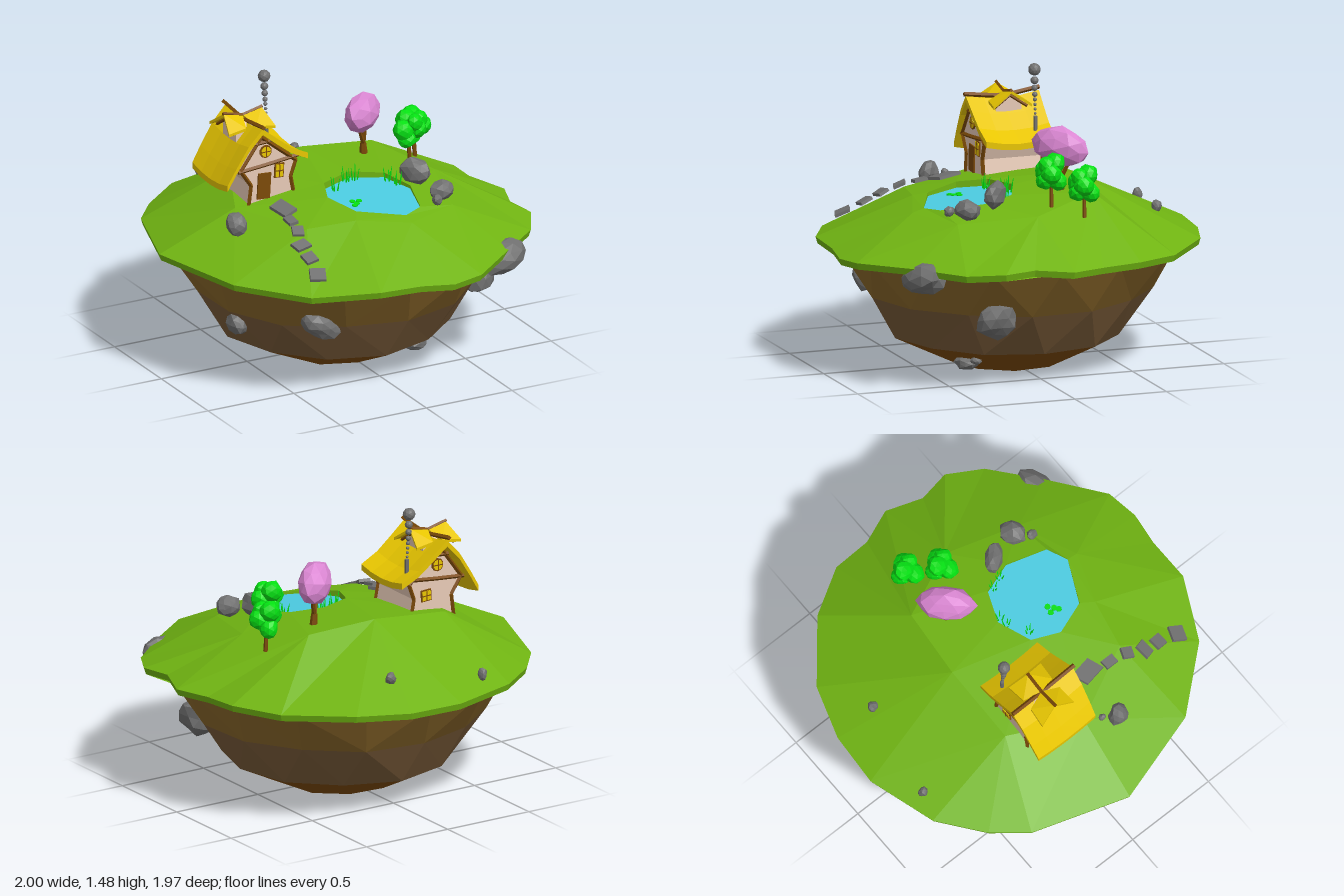
import * as THREE from 'three';

const paint = (color, name, side = THREE.FrontSide) => {
  const m = new THREE.MeshStandardMaterial({ color, flatShading: true, side });
  m.name = name;
  return m;
};
const V = (x, y, z) => new THREE.Vector3(x, y, z);
const TAU = Math.PI * 2;

// Geometry from a list of triangle corners
function fromTriangles(points) {
  const g = new THREE.BufferGeometry().setFromPoints(points);
  g.computeVertexNormals();
  return g;
}

// Stitches two rings of any size by their angle around a centre
function stitch(outer, inner, cx = 0, cz = 0) {
  const angle = p => (Math.atan2(p.z - cz, p.x - cx) + TAU) % TAU;
  const sorted = r => [...r].sort((p, q) => angle(p) - angle(q));
  const a = sorted(outer), b = sorted(inner), out = [];
  const at = (r, i) => r[i % r.length];
  const next = (r, i) => angle(at(r, i + 1)) + TAU * Math.floor((i + 1) / r.length);
  let i = 0, j = 0;
  while (i < a.length || j < b.length) {
    const moveOuter = j >= b.length || (i < a.length && next(a, i) < next(b, j));
    if (moveOuter) out.push(at(a, i), at(b, j), at(a, ++i));
    else out.push(at(a, i), at(b, j), at(b, ++j));
  }
  return out;
}

// Skin over equal-sized loops, with end caps
function loft(loops) {
  const out = [], n = loops[0].length;
  for (let k = 0; k + 1 < loops.length; k++) for (let i = 0; i < n; i++) {
    const j = (i + 1) % n, a = loops[k], b = loops[k + 1];
    out.push(a[i], b[i], a[j], a[j], b[i], b[j]);
  }
  for (const l of [loops[0], loops[loops.length - 1]])
    for (let i = 0; i < n / 2 - 1; i++)
      out.push(l[i], l[i + 1], l[n - 1 - i], l[i + 1], l[n - 2 - i], l[n - 1 - i]);
  return fromTriangles(out);
}

// Faceted lump, roughened by a position-based rule
function lump(rx, ry, rz, seed = 1, rough = 0.15) {
  const g = new THREE.IcosahedronGeometry(1, 1), p = g.attributes.position;
  for (let i = 0; i < p.count; i++) {
    const v = V().fromBufferAttribute(p, i);
    const h = Math.sin(Math.round(v.x * 50) * 1.3 + Math.round(v.y * 50) * 2.7 + Math.round(v.z * 50) * 4.1 + seed * 9);
    v.multiplyScalar(1 + rough * (h - 0.2) * 0.7).multiply(V(rx, ry, rz));
    p.setXYZ(i, v.x, v.y, v.z);
  }
  g.computeVertexNormals();
  return g;
}

export function createModel() {
  const grass = paint(0x70b412, 'grass green'), earth = paint(0x8a672a, 'earth brown');
  const midEarth = paint(0x785a38, 'dull earth brown'), timber = paint(0x7c4a08, 'timber brown');
  const stone = paint(0x707070, 'stone grey'), water = paint(0x4ccce2, 'water blue');
  const plaster = paint(0xeed0bc, 'plaster'), thatch = paint(0xe8c600, 'thatch yellow', THREE.DoubleSide);
  const leaf = paint(0x04e012, 'leaf green'), blossom = paint(0xda86d2, 'blossom pink');

  const model = new THREE.Group();
  const group = name => { const g = new THREE.Group(); g.name = name; model.add(g); return g; };
  const add = (parent, name, geo, mat, x = 0, y = 0, z = 0, rx = 0, ry = 0, rz = 0) => {
    const m = new THREE.Mesh(geo, mat);
    m.name = name;
    m.position.set(x, y, z);
    m.rotation.set(rx, ry, rz);
    parent.add(m);
    return m;
  };
  // Square or round bar between two points
  const bar = (parent, name, a, b, r, mat, sides = 4, tip = r) => {
    const d = b.clone().sub(a), c = a.clone().add(b).multiplyScalar(0.5);
    const m = add(parent, name, new THREE.CylinderGeometry(tip, r, d.length(), sides), mat, c.x, c.y, c.z);
    m.quaternion.setFromUnitVectors(V(0, 1, 0), d.normalize());
  };

  // Island: grass cap with a pond hole, overhanging lip and earth bowl
  const island = group('island');
  const rim = [[-0.09, -0.99, 0.66], [0.2, -0.97, 0.655], [0.48, -0.88, 0.665], [0.78, -0.63, 0.66], [0.92, -0.39, 0.67],
    [0.93, -0.18, 0.66], [1, 0, 0.664], [0.93, 0.19, 0.675], [0.96, 0.36, 0.67], [0.86, 0.54, 0.655], [0.62, 0.74, 0.66],
    [0.35, 0.95, 0.65], [0.18, 0.98, 0.64], [0, 0.955, 0.655], [-0.24, 0.955, 0.665], [-0.56, 0.8, 0.642],
    [-0.84, 0.48, 0.655], [-1, -0.02, 0.68], [-0.83, -0.53, 0.665], [-0.69, -0.7, 0.66], [-0.46, -0.88, 0.665]]
    .map(([x, z, y]) => V(x, y, z));
  const lip = rim.map(p => V(p.x * 0.99, p.y - 0.035, p.z * 0.99));
  const plateau = [[-0.41, 0.92, -0.36], [0.02, 0.96, -0.36], [0.4, 0.935, -0.32], [0.57, 0.87, 0.04], [0.46, 0.835, 0.44],
    [0.15, 0.842, 0.57], [-0.12, 0.87, 0.47], [-0.38, 0.855, 0.42], [-0.58, 0.87, 0.02]].map(p => V(...p));
  const shore = [[0.09, 0.935, 0], [0.26, 0.92, 0.07], [0.32, 0.898, 0.24], [0.26, 0.87, 0.46], [0.15, 0.862, 0.51],
    [-0.08, 0.888, 0.4], [-0.15, 0.915, 0.22], [-0.09, 0.93, 0.07]].map(p => V(...p));
  const pond = shore.map(p => V(p.x, 0.9 - p.z * 0.08, p.z));
  add(island, 'grass', fromTriangles([...stitch(rim, plateau), ...stitch(plateau, shore, 0.09, 0.24),
    ...stitch(shore, pond, 0.09, 0.24), ...stitch(lip, rim)]), grass);
  add(island, 'pondWater', fromTriangles(stitch(pond, [V(0.09, 0.881, 0.24)], 0.09, 0.24)), water);
  const ring = (r, y, n, turn) => Array.from({ length: n }, (_, i) => {
    const a = (i + turn) / n * TAU, s = r * (1 + 0.02 * Math.sin(i * 2.3 + turn * 5));
    return V(Math.cos(a) * s, y, Math.sin(a) * s);
  });
  const inset = ring(0.905, 0.638, 16, 0.1), upper = ring(0.74, 0.385, 14, 0.4);
  const lower = ring(0.595, 0.152, 12, 0.05), base = ring(0.285, 0, 9, 0.3);
  add(island, 'grassUnderside', fromTriangles(stitch(inset, lip)), grass);
  add(island, 'earthUpper', fromTriangles(stitch(upper, inset)), earth);
  add(island, 'earthMiddle', fromTriangles(stitch(lower, upper)), midEarth);
  add(island, 'earthBase', fromTriangles([...stitch(base, lower), ...stitch([V(0, 0, 0)], base)]), timber);

  // Boulders: position, radii, turn about y and z
  const rocks = group('rocks');
  [[-0.665, 0.85, 0.18, 0.05, 0.065, 0.06, 0.4, 0], [-0.625, 0.855, 0.105, 0.017, 0.02, 0.02, 0, 0],
    [0.37, 0.955, 0.2, 0.085, 0.07, 0.05, -0.8, -0.3], [0.43, 0.9, 0.375, 0.075, 0.055, 0.06, 0.3, 0],
    [0.365, 0.885, 0.45, 0.026, 0.028, 0.03, 0, 0], [-0.325, 0.73, -0.835, 0.024, 0.035, 0.026, 0, 0],
    [0.185, 0.78, -0.75, 0.028, 0.035, 0.028, 0, 0], [0.61, 0.605, 0.685, 0.145, 0.085, 0.09, 0.35, 0.1],
    [-0.41, 0.4, 0.61, 0.11, 0.065, 0.08, -0.4, -0.4], [0.67, 0.37, 0.3, 0.085, 0.105, 0.115, 0, -0.4],
    [-0.67, 0.31, 0.2, 0.05, 0.065, 0.07, 0, 0.5], [0.3, 0.07, 0.33, 0.068, 0.036, 0.06, 0.5, 0],
    [0.38, 0.095, 0.31, 0.03, 0.02, 0.03, 0, 0]].forEach(([x, y, z, rx, ry, rz, ty, tz], i) =>
    add(rocks, 'rock', lump(rx, ry, rz, i + 1), stone, x, y, z, 0, ty, tz));

  // Stepping stones down the slope
  const path = group('path');
  [[-0.395, 0.89, 0.195, 0.045, 0.065], [-0.42, 0.873, 0.32, 0.026, 0.036], [-0.435, 0.855, 0.425, 0.03, 0.032],
    [-0.465, 0.814, 0.515, 0.042, 0.03], [-0.465, 0.776, 0.605, 0.034, 0.034], [-0.48, 0.726, 0.72, 0.042, 0.04]]
    .forEach(([x, y, z, w, d], i) => {
      const g = new THREE.CylinderGeometry(1.4, 1.45, 0.016, 4);
      g.rotateY(Math.PI / 4 + 0.35 * Math.sin(i * 2 + 1)).scale(w, 1, d);
      add(path, 'steppingStone', g, stone, x, y + 0.002, z, i < 2 ? 0.15 : 0.42, 0, 0.1);
    });

  // Cottage walls, pinched at the waist
  const house = group('cottage');
  const wall = [[-0.51, 0.86], [-0.495, 0.98], [-0.555, 1.07], [-0.435, 1.24], [-0.235, 1.075], [-0.265, 0.99], [-0.24, 0.86]];
  const wallGeo = new THREE.ExtrudeGeometry(new THREE.Shape(wall.map(p => new THREE.Vector2(...p))), { depth: 0.32, bevelEnabled: false });
  add(house, 'walls', wallGeo, plaster, 0, 0, -0.29);

  // Timber frame on both gable ends
  for (const z of [0.034, -0.294]) {
    const line = (...pts) => pts.slice(1).forEach((p, i) => bar(house, 'timberBeam', V(...pts[i], z), V(...p, z), 0.011, timber));
    line(wall[0], wall[1], wall[2], [-0.435, 1.235], wall[4], wall[5], wall[6]);
    line([-0.57, 1.065], [-0.4, 1.08], [-0.22, 1.1]);
    line([-0.475, 1.203], [-0.375, 1.208]);
  }
  for (const [x, y] of [wall[2], wall[4]]) bar(house, 'sideBeam', V(x, y, 0.03), V(x, y, -0.29), 0.012, timber);

  // Door and windows
  add(house, 'door', new THREE.BoxGeometry(0.075, 0.14, 0.009), timber, -0.42, 0.965, 0.033, 0, 0, -0.06);
  const pane = (x, y, z, w, h) => {
    add(house, 'windowFrame', new THREE.BoxGeometry(w + 0.012, h + 0.012, 0.008), timber, x, y, z, 0, 0, -0.06);
    add(house, 'windowPane', new THREE.BoxGeometry(w, h, 0.016), thatch, x, y, z, 0, 0, -0.06);
    add(house, 'windowBar', new THREE.BoxGeometry(0.005, h, 0.02), timber, x, y, z, 0, 0, -0.06);
    add(house, 'windowBar', new THREE.BoxGeometry(w, 0.005, 0.02), timber, x, y, z, 0, 0, -0.06);
  };
  pane(-0.332, 1.035, 0.033, 0.042, 0.066);
  pane(-0.34, 1.0, -0.293, 0.05, 0.05);
  for (const z of [0.033, -0.293]) {
    const disc = (name, r, d, mat) => add(house, name, new THREE.CylinderGeometry(r, r, d, 10), mat, -0.41, 1.153, z, Math.PI / 2);
    disc('roundFrame', 0.035, 0.008, timber);
    disc('roundPane', 0.028, 0.016, thatch);
    add(house, 'windowBar', new THREE.BoxGeometry(0.005, 0.056, 0.02), timber, -0.41, 1.153, z);
    add(house, 'windowBar', new THREE.BoxGeometry(0.056, 0.005, 0.02), timber, -0.41, 1.153, z);
  }

  // Sagging thatched roof, slightly narrower at the eaves
  const roofLine = [[-0.64, 0.985], [-0.59, 1.07], [-0.52, 1.18], [-0.44, 1.265], [-0.36, 1.2], [-0.27, 1.13], [-0.17, 1.08]];
  const section = t => {
    const lift = 0.025 * t * t;
    const top = roofLine.map(([x, y], i) => V(x, y + lift, -0.14 + t * (0.2 - 0.012 * Math.abs(i - 3) / 3)));
    return [...top, ...top.map(p => V(p.x, p.y - 0.032, p.z)).reverse()];
  };
  add(house, 'roof', loft([-1, -0.5, 0, 0.5, 1].map(section)), thatch);
  bar(house, 'ridgePole', V(-0.44, 1.275, -0.14), V(-0.44, 1.3, 0.07), 0.012, timber);
  bar(house, 'ridgePole', V(-0.44, 1.275, -0.14), V(-0.45, 1.305, -0.345), 0.012, timber);

  // Cross gable over the ridge with flared thatch
  const c = -0.445, zc = -0.15;
  const gable = new THREE.Shape([[-0.07, 1.13], [0.07, 1.13], [0.07, 1.245], [0, 1.29], [-0.07, 1.245]].map(p => new THREE.Vector2(...p)));
  const gableGeo = new THREE.ExtrudeGeometry(gable, { depth: 0.15, bevelEnabled: false });
  add(house, 'crossGable', gableGeo, plaster, c - 0.075, 0, zc, 0, Math.PI / 2);
  for (const s of [-1, 1]) {
    for (const t of [-1, 1]) {
      const top = [V(c, 1.3, zc), V(c + s * 0.11, 1.322, zc), V(c + s * 0.135, 1.25, zc + t * 0.105), V(c + s * 0.03, 1.262, zc + t * 0.095)];
      add(house, 'gableThatch', loft([top, top.map(p => V(p.x, p.y - 0.015, p.z))]), thatch);
      bar(house, 'gableTrim', V(c + s * 0.09, 1.295, zc), V(c + s * 0.1, 1.235, zc + t * 0.09), 0.008, timber);
    }
    bar(house, 'crossPole', V(c, 1.298, zc), V(c + s * 0.115, 1.325, zc), 0.009, timber);
  }

  // Chimney pipe and smoke puffs
  bar(house, 'chimney', V(-0.25, 1.1, -0.25), V(-0.25, 1.2, -0.25), 0.011, stone, 6);
  [[1.213, 0.007], [1.236, 0.008], [1.26, 0.009], [1.286, 0.011], [1.312, 0.014], [1.346, 0.017], [1.385, 0.021], [1.442, 0.033]]
    .forEach(([y, r], i) => add(house, 'smokePuff', new THREE.IcosahedronGeometry(r, 1), stone, -0.252 - 0.0018 * i, y, -0.25));

  // Blossom tree with forked trunk
  const pinkTree = group('blossomTree');
  const fork = V(0.28, 0.99, -0.19);
  bar(pinkTree, 'trunk', V(0.285, 0.9, -0.19), fork, 0.024, timber, 6, 0.016);
  for (const [x, z] of [[0.23, -0.15], [0.32, -0.23], [0.285, -0.17]]) bar(pinkTree, 'branch', fork, V(x, 1.1, z), 0.013, timber, 5, 0.008);
  add(pinkTree, 'blossomCrown', lump(0.16, 0.106, 0.085, 4, 0.1), blossom, 0.275, 1.157, -0.19, 0, 0.75, -0.12);

  // Leafy trees with clustered crowns
  for (const [x, y, z, h] of [[0.475, 0.87, -0.065, 0.205], [0.58, 0.85, -0.205, 0.175]]) {
    const tree = group('leafyTree');
    bar(tree, 'trunk', V(x + 0.01, y, z), V(x, y + h, z), 0.012, timber, 6, 0.008);
    [[-0.04, 0.005, 0.02, 0.054], [0.042, 0, 0.015, 0.052], [0, 0.042, -0.02, 0.056], [0.01, -0.045, -0.03, 0.05],
      [0.02, 0.04, 0.03, 0.046], [-0.025, -0.045, 0.025, 0.048]].forEach(([dx, dy, dz, r], i) =>
      add(tree, 'leafCluster', lump(r, r * 1.05, r, i + 3, 0.1), leaf, x + dx, y + h + dy, z + dz));
  }

  // Reeds on the bank and lily pads
  const plants = group('pondPlants');
  [[-0.04, 0.1], [0.06, 0.03], [0.11, 0.03], [0.26, 0.11], [0.285, 0.17]].forEach(([x, z], k) => {
    for (let i = 0; i < 5; i++) {
      const a = i * 2.4 + k, px = x + Math.cos(a) * 0.012, pz = z + Math.sin(a) * 0.012;
      bar(plants, 'reed', V(px, 0.88, pz), V(px + Math.cos(a) * 0.012, 0.945 + 0.008 * i - z * 0.1, pz + Math.sin(a) * 0.012), 0.0055, leaf, 4, 0.0015);
    }
  });
  for (const [x, z] of [[-0.025, 0.255], [0.01, 0.262], [-0.015, 0.285], [-0.035, 0.3]])
    add(plants, 'lilyPad', new THREE.CylinderGeometry(0.016, 0.016, 0.006, 7), leaf, x, 0.902 - z * 0.08, z, 0.08);
  return model;
}
